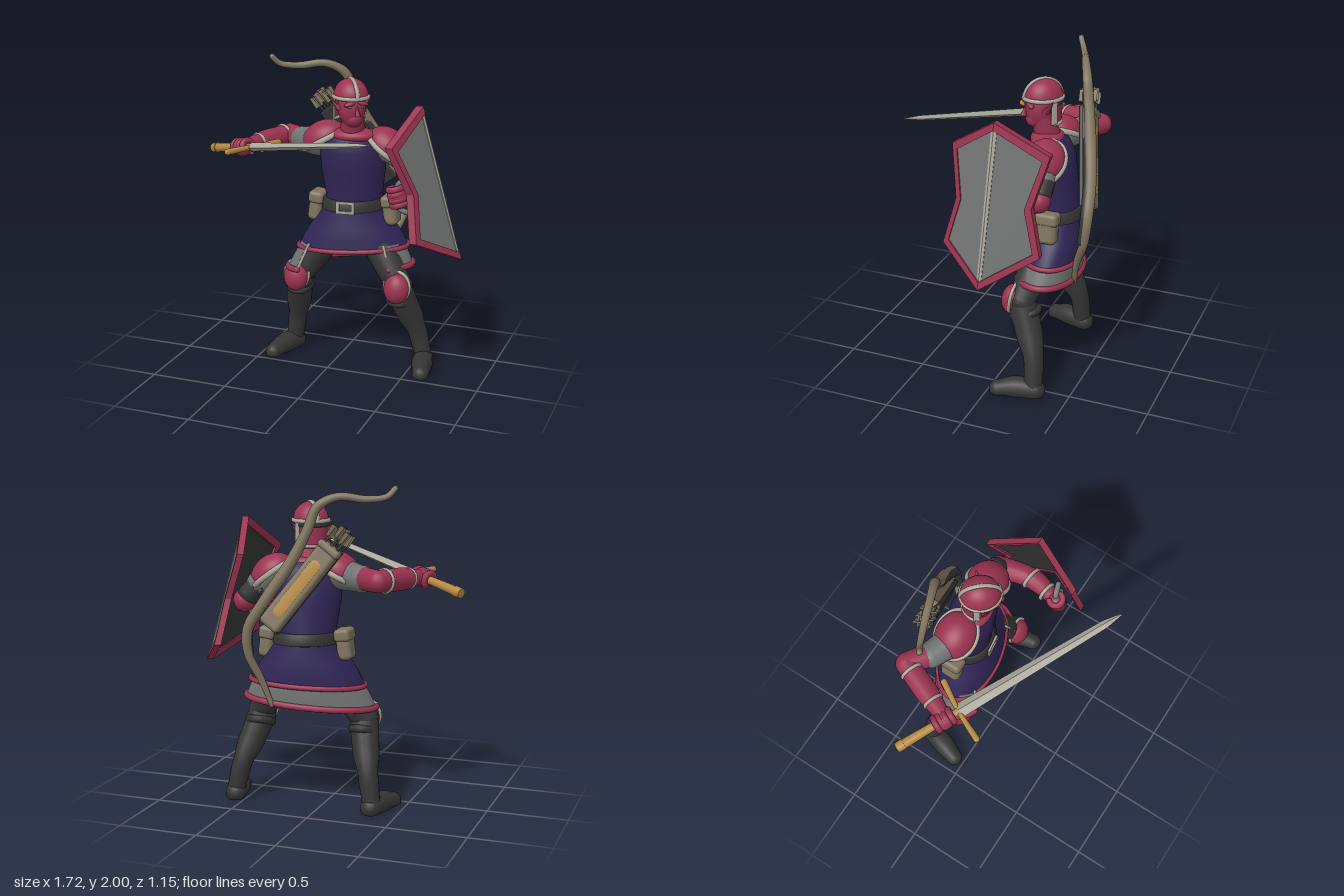
import * as THREE from 'three';
import { mergeGeometries } from 'three/addons/utils/BufferGeometryUtils.js';
import { RoundedBoxGeometry } from 'three/addons/geometries/RoundedBoxGeometry.js';

const V = (x, y, z) => new THREE.Vector3(x, y, z);
const mat = (name, color) => Object.assign(
  new THREE.MeshStandardMaterial({ color, side: THREE.DoubleSide }), { name });

// Tapered round limb along a path with rounded ends
function limb(pts, radii, rad = 16, seg = 36) {
  const curve = new THREE.CatmullRomCurve3(pts.map((p) => V(...p)));
  const g = new THREE.TubeGeometry(curve, seg, 1, rad, false);
  const pos = g.attributes.position, v = V(0, 0, 0);
  const radius = (t) => {
    const f = t * (radii.length - 1), i = Math.min(Math.floor(f), radii.length - 2);
    return THREE.MathUtils.lerp(radii[i], radii[i + 1], THREE.MathUtils.smoothstep(f - i, 0, 1));
  };
  for (let i = 0; i <= seg; i++) {
    const c = curve.getPointAt(i / seg), r = radius(i / seg);
    for (let j = 0; j <= rad; j++) {
      const k = i * (rad + 1) + j;
      v.fromBufferAttribute(pos, k).sub(c).multiplyScalar(r).add(c);
      pos.setXYZ(k, v.x, v.y, v.z);
    }
  }
  const caps = [0, 1].map((t) => {
    const c = curve.getPointAt(t);
    return new THREE.SphereGeometry(radius(t), rad, 10).translate(c.x, c.y, c.z);
  });
  return mergeGeometries([g, ...caps]);
}

// Point on an elliptical ring [y, cx, cz, rx, rz], yawed a little; the hem climbs towards +x
function ringPoint([y, cx, cz, rx, rz], a) {
  const x = cx + rx * Math.sin(a), z = cz + rz * Math.cos(a) - 0.15 * (x - 0.09);
  return V(x, y + Math.max(0, 1 - y) * 0.22 * (x - 0.09), z);
}

// Skin through a stack of rings, from angle a0 through sweep
function loft(rings, a0 = 0, sweep = Math.PI * 2, n = 48) {
  const pos = [], idx = [], closed = sweep > 6.28, w = closed ? n : n + 1;
  rings.forEach((r) => {
    for (let j = 0; j < w; j++) pos.push(...ringPoint(r, a0 + sweep * j / n).toArray());
  });
  for (let i = 0; i < rings.length - 1; i++) for (let j = 0; j < n; j++) {
    const a = i * w + j, b = i * w + (j + 1) % w;
    idx.push(a, a + w, b, b, a + w, b + w);
  }
  const g = new THREE.BufferGeometry();
  g.setAttribute('position', new THREE.Float32BufferAttribute(pos, 3));
  g.setIndex(idx);
  g.computeVertexNormals();
  return g;
}

const hemLine = (ring, r, a0 = 0, sweep = Math.PI * 2) => limb(
  Array.from({ length: 33 }, (_, i) => ringPoint(ring, a0 + sweep * i / 32).toArray()), [r, r], 8, 64);

export function createModel() {
  const root = new THREE.Group();
  const crimson = mat('crimson', 0x9a3350), navy = mat('navy cloth', 0x2f2555);
  const charcoal = mat('charcoal leather', 0x353535), grey = mat('grey steel', 0x707372);
  const silver = mat('pale silver', 0xa9a79b), tan = mat('tan hide', 0x7f745f), gold = mat('gold', 0xb58942);
  const add = (name, geo, m, parent = root, p = [0, 0, 0], r = [0, 0, 0], s = [1, 1, 1]) => {
    const o = new THREE.Mesh(geo, m);
    o.name = name;
    o.position.set(...p); o.rotation.set(...r); o.scale.set(...s);
    parent.add(o);
    return o;
  };
  const group = (name, p = [0, 0, 0], r = [0, 0, 0], parent = root) => {
    const o = new THREE.Group();
    o.name = name;
    o.position.set(...p); o.rotation.set(...r);
    parent.add(o);
    return o;
  };
  const ball = new THREE.SphereGeometry(1, 28, 18);

  // Tunic, layered skirt and belt
  const hem = [0.79, 0.09, -0.235, 0.35, 0.195], lowTop = [0.82, 0.09, -0.22, 0.325, 0.19], lowHem = [0.665, 0.08, -0.205, 0.4, 0.212];
  add('tunic', loft([[1.545, 0.1, -0.2, 0.09, 0.06], [1.53, 0.09, -0.2, 0.13, 0.09], [1.49, 0.09, -0.21, 0.18, 0.12],
    [1.42, 0.09, -0.22, 0.205, 0.145], [1.3, 0.09, -0.23, 0.2, 0.15], [1.12, 0.09, -0.25, 0.175, 0.148],
    [1.03, 0.09, -0.25, 0.19, 0.16], [0.93, 0.09, -0.245, 0.27, 0.182], [0.86, 0.09, -0.24, 0.315, 0.19], hem]), navy);
  add('tunicHem', hemLine(hem, 0.016), crimson);
  const a0 = 0.83, sweep = Math.PI * 2 - 2 * a0;
  add('lowerSkirt', loft([lowTop, [0.74, 0.085, -0.215, 0.365, 0.203], lowHem], a0, sweep), grey);
  add('skirtLining', loft([[0.82, 0.09, -0.22, 0.31, 0.18], [0.67, 0.08, -0.205, 0.388, 0.2]], a0, sweep), navy);
  add('lowerSkirtHem', hemLine(lowHem, 0.02, a0, sweep), crimson);
  for (const a of [a0, -a0]) {
    add('skirtEdge', limb([ringPoint(lowTop, a).toArray(), ringPoint(lowHem, a).toArray()], [0.01, 0.01], 8), silver);
  }
  add('belt', loft([[1.11, 0.09, -0.25, 0.175, 0.15], [1.105, 0.09, -0.25, 0.19, 0.168],
    [1.04, 0.09, -0.25, 0.2, 0.178], [1.035, 0.09, -0.25, 0.185, 0.16]]), charcoal);
  const buckle = new THREE.Shape();
  buckle.moveTo(-0.06, -0.04).lineTo(0.06, -0.04).lineTo(0.06, 0.04).lineTo(-0.06, 0.04);
  const slot = new THREE.Path();
  slot.moveTo(-0.038, -0.022).lineTo(-0.038, 0.022).lineTo(0.038, 0.022).lineTo(0.038, -0.022);
  buckle.holes.push(slot);
  add('buckle', new THREE.ExtrudeGeometry(buckle, { depth: 0.015, bevelEnabled: false }), silver, root, [0.09, 1.075, -0.082], [0, 0.15, 0]);
  for (const s of [-1, 1]) {
    const pouch = group('pouch', [0.09 + s * 0.24, 1.035, -0.25 - s * 0.03], [0, 0, s * 0.12]);
    add('pouchBag', new RoundedBoxGeometry(0.09, 0.19, 0.13, 4, 0.03), tan, pouch);
    add('pouchFlap', new RoundedBoxGeometry(0.102, 0.08, 0.145, 4, 0.025), tan, pouch, [0, 0.06, 0]);
  }

  // Legs: hip, knee, ankle, toe
  for (const [side, hip, knee, ankle, toe] of [
    ['right', -0.01, -0.255, -0.34, -0.41], ['left', 0.19, 0.43, 0.56, 0.61]]) {
    const leg = group(side + 'Leg');
    add('thigh', limb([[hip, 0.9, -0.235], [(hip + knee) / 2, 0.75, -0.2], [knee, 0.57, -0.16]], [0.1, 0.1, 0.085]), charcoal, leg);
    const shin = (t) => knee + (ankle - knee) * t;
    add('boot', limb([[knee, 0.53, -0.165], [shin(0.3), 0.4, -0.215], [shin(0.7), 0.24, -0.27], [ankle, 0.07, -0.285]],
      [0.09, 0.084, 0.062, 0.057]), charcoal, leg);
    const cuff = new THREE.TorusGeometry(0.074, 0.019, 10, 28).rotateX(Math.PI / 2 + 0.3);
    add('bootCuff', cuff, charcoal, leg, [knee, 0.495, -0.18], [0, 0, 0], [1, 1.3, 1.15]);
    const foot = limb([[ankle, 0.04, -0.295], [(ankle + toe) / 2, 0.045, -0.18], [toe, 0.025, -0.07]], [0.065, 0.07, 0.055]);
    const p = foot.attributes.position;
    for (let i = 0; i < p.count; i++) p.setY(i, Math.max(0, p.getY(i)));
    add('foot', foot, charcoal, leg);
    const pad = group('kneePad', [knee, 0.57, -0.1], [-0.15, 0, 0], leg);
    add('kneePlate', ball, crimson, pad, [0, 0, 0], [0, 0, 0], [0.083, 0.098, 0.07]);
    add('kneeTrim', new THREE.TorusGeometry(0.083, 0.011, 8, 32), silver, pad, [0, 0.012, -0.005], [0, 0, 0], [1, 1.16, 1]);
  }

  // Head turned towards the shield
  add('collar', ball, crimson, root, [0.1, 1.525, -0.19], [0, 0.15, 0], [0.15, 0.05, 0.1]);
  add('neck', limb([[0.09, 1.48, -0.2], [0.11, 1.66, -0.16]], [0.085, 0.07]), crimson);
  const head = group('head', [0.095, 1.77, -0.16], [0, 0.7, 0]);
  add('face', ball, crimson, head, [0, -0.06, 0.015], [0, 0, 0], [0.085, 0.13, 0.098]);
  add('jaw', ball, crimson, head, [0, -0.125, 0.05], [0, 0, 0], [0.055, 0.055, 0.06]);
  add('nose', new THREE.ConeGeometry(0.02, 0.075, 8), crimson, head, [0, -0.065, 0.115], [-0.25, 0, 0]);
  const dome = new THREE.SphereGeometry(0.115, 32, 16, 0, Math.PI * 2, 0, Math.PI / 2);
  add('helmetDome', dome, crimson, head, [0, 0, 0], [0, 0, 0], [0.95, 1.03, 1.06]);
  add('helmetBand', new THREE.TorusGeometry(0.113, 0.011, 8, 40).rotateX(Math.PI / 2), silver, head, [0, 0.005, 0], [0, 0, 0], [0.96, 1.2, 1.06]);
  add('helmetCrest', new THREE.TorusGeometry(0.115, 0.009, 8, 32, Math.PI).rotateY(Math.PI / 2), silver, head, [0, 0, 0], [0, 0, 0], [1.5, 1.03, 1.06]);
  const guard = new THREE.CylinderGeometry(0.11, 0.105, 0.15, 28, 1, true, Math.PI * 0.62, Math.PI * 0.76);
  add('neckGuard', guard, crimson, head, [0, -0.07, 0], [0, 0, 0], [0.96, 1, 1.06]);
  const rearArc = (r) => new THREE.TorusGeometry(r, 0.011, 8, 28, Math.PI * 0.76).rotateX(Math.PI / 2).rotateY(Math.PI * 0.88);
  add('neckGuardTrim', rearArc(0.108), silver, head, [0, -0.145, 0]);
  add('neckGuardGap', rearArc(0.107), charcoal, head, [0, -0.02, 0], [0, 0, 0], [0.96, 1, 1.06]);
  for (const s of [-1, 1]) {
    add('cheekPlate', new RoundedBoxGeometry(0.014, 0.15, 0.04, 3, 0.006), silver, head, [s * 0.1, -0.07, -0.035], [0, s * 0.2, 0]);
    add('ear', new THREE.ConeGeometry(0.028, 0.12, 8), crimson, head, [s * 0.115, -0.025, 0], [-0.25, 0, -s * 0.65], [0.6, 1, 1]);
    add('brow', ball, crimson, head, [s * 0.04, -0.025, 0.095], [0, 0, -s * 0.25], [0.04, 0.015, 0.02]);
    add('eye', ball, tan, head, [s * 0.036, -0.046, 0.096], [0, 0, 0], [0.017, 0.008, 0.01]);
  }

  // Shoulder plates with pale rims
  const shell = new THREE.SphereGeometry(0.13, 32, 14, 0, Math.PI * 2, 0, 1.6);
  for (const [side, p, r] of [['right', [-0.1, 1.48, -0.21], [0, 0, 0.5]], ['left', [0.31, 1.45, -0.25], [0, 0, -0.64]]]) {
    const g = group(side + 'Pauldron', p, r);
    add('shoulderPlate', shell, crimson, g, [0, 0, 0], [0, 0, 0], [1.15, 0.88, 0.96]);
    add('shoulderTrim', new THREE.TorusGeometry(0.132, 0.015, 8, 40).rotateX(Math.PI / 2), silver, g, [0, -0.005, 0], [0, 0, 0], [1.15, 1.2, 0.96]);
  }

  // Arms
  const cuffs = (name, parent, a, b, spots) => spots.forEach(([t, r]) => {
    const A = V(...a), d = V(...b).sub(A);
    const o = add(name, new THREE.TorusGeometry(r, 0.012, 8, 28), silver, parent, A.clone().addScaledVector(d, t).toArray());
    o.quaternion.setFromUnitVectors(V(0, 0, 1), d.normalize());
  });
  const rElbow = [-0.4, 1.45, -0.36], rHand = [-0.55, 1.435, 0];
  const lElbow = [0.485, 1.28, -0.285], lMid = [0.54, 1.26, -0.08], lHand = [0.5, 1.25, 0.13];
  const rArm = group('rightArm'), lArm = group('leftArm');
  add('sleeve', limb([[-0.13, 1.46, -0.21], [-0.27, 1.445, -0.27]], [0.095, 0.083]), grey, rArm);
  add('elbow', limb([[-0.27, 1.45, -0.27], rElbow], [0.072, 0.068]), crimson, rArm);
  add('forearm', limb([rElbow, rHand], [0.068, 0.07, 0.048]), crimson, rArm);
  cuffs('armBand', rArm, rElbow, rHand, [[0.15, 0.066], [0.72, 0.055]]);
  add('sleeve', limb([[0.31, 1.45, -0.25], [0.39, 1.385, -0.275]], [0.092, 0.08]), grey, lArm);
  add('upperArm', limb([[0.38, 1.39, -0.275], [0.455, 1.32, -0.285]], [0.077, 0.07]), charcoal, lArm);
  add('forearm', limb([lElbow, lMid, lHand], [0.072, 0.066, 0.046]), crimson, lArm);
  cuffs('armBand', lArm, lMid, lHand, [[0, 0.065], [0.6, 0.055]]);
  const fist = (parent, p, r = [0, 0, 0]) => {
    const h = group('fist', p, r, parent);
    add('palm', ball, crimson, h, [0, 0, 0], [0, 0, 0], [0.06, 0.066, 0.058]);
    for (let i = 0; i < 4; i++) add('finger', new THREE.TorusGeometry(0.042, 0.02, 8, 18, 4.2).rotateX(Math.PI / 2), crimson, h, [0, -0.05 + i * 0.033, 0]);
  };
  fist(lArm, lHand, [0, 0, 0.26]);
  add('shieldGrip', limb([[0.56, 1.35, 0.1], [0.5, 1.32, 0.12], [0.52, 1.17, 0.12], [0.61, 1.14, 0.1]], [0.018, 0.018], 8), grey);

  // Sword, blade running along its local y
  const sword = group('sword', [-0.48, 1.45, 0.06]);
  const along = V(0.866, 0.192, 0.463).normalize(), across = V(-0.4715, 0, 0.8819);
  sword.quaternion.setFromRotationMatrix(new THREE.Matrix4().makeBasis(across, along, across.clone().cross(along)));
  const flat = (g) => { const f = g.toNonIndexed(); f.computeVertexNormals(); return f; };
  add('blade', flat(new THREE.CylinderGeometry(0.026, 0.046, 0.99, 4)), silver, sword, [0, 0.495, 0], [0, 0, 0], [1, 1, 0.6]);
  add('bladeTip', flat(new THREE.CylinderGeometry(0.006, 0.026, 0.11, 4)), silver, sword, [0, 1.045, 0], [0, 0, 0], [1, 1, 0.6]);
  add('crossGuard', limb([[-0.2, 0.01, 0], [0, 0, 0], [0.2, 0.01, 0]], [0.02, 0.016, 0.02], 10), gold, sword);
  add('grip', new THREE.CylinderGeometry(0.022, 0.03, 0.38, 14), gold, sword, [0, -0.19, 0]);
  add('pommel', new THREE.CylinderGeometry(0.034, 0.03, 0.05, 14), gold, sword, [0, -0.395, 0]);
  fist(sword, [0, -0.1, 0]);

  // Shield: two halves folded back from a leaning centre ridge
  const shield = group('shield');
  const outer = [[0, 1.77], [0.305, 1.57], [0.235, 1.28], [0.305, 1], [0, 0.835]];
  const inner = [[0, 1.725], [0.265, 1.545], [0.198, 1.28], [0.265, 1.025], [0, 0.88]];
  const panel = (name, pts, s, depth, lift, m) => {
    const shape = new THREE.Shape(pts.map(([u, y]) => new THREE.Vector2(s * u, y)));
    const g = new THREE.ExtrudeGeometry(shape, { depth, bevelEnabled: false });
    const p = g.attributes.position;
    for (let i = 0; i < p.count; i++) {
      const u = p.getX(i), y = p.getY(i);
      p.setXYZ(i, 0.56 + 0.285 * (1.77 - y) - 0.5 * Math.abs(u) + lift + p.getZ(i), y, -0.055 - u);
    }
    g.computeVertexNormals();
    add(name, g, m, shield);
  };
  for (const s of [-1, 1]) {
    panel('shieldFace', inner, s, 0.012, 0.012, grey);
    panel('shieldBack', inner, s, 0.008, 0.002, charcoal);
    panel('shieldRim', [...outer, ...inner.slice().reverse()], s, 0.045, -0.01, crimson);
    panel('shieldRidge', [[0, 1.725], [0.018, 1.71], [0.014, 0.895], [0, 0.88]], s, 0.008, 0.02, silver);
  }

  // Quiver slung across the back
  const top = V(-0.13, 1.66, -0.375), base = V(0.24, 1.16, -0.515);
  const quiver = group('quiver', top.clone().add(base).multiplyScalar(0.5).toArray());
  const up = top.clone().sub(base).normalize(), wide = up.clone().cross(V(0, 0, -1)).normalize();
  const inward = wide.clone().cross(up);
  quiver.quaternion.setFromRotationMatrix(new THREE.Matrix4().makeBasis(wide, up, inward));
  const out = inward.z < 0 ? 1 : -1;
  add('quiverCase', new RoundedBoxGeometry(0.14, 0.62, 0.085, 4, 0.025), tan, quiver);
  add('quiverBacking', new RoundedBoxGeometry(0.145, 0.63, 0.03, 4, 0.012), charcoal, quiver, [0, 0, -out * 0.035]);
  add('quiverLip', new RoundedBoxGeometry(0.155, 0.05, 0.08, 4, 0.02), tan, quiver, [0, 0.28, out * 0.012]);
  add('quiverPanel', new THREE.CapsuleGeometry(0.036, 0.34, 6, 16), gold, quiver, [0, -0.02, out * 0.042], [0, 0, 0], [1, 1, 0.12]);
  for (let i = 0; i < 6; i++) {
    const x = (i % 3 - 1) * 0.045, z = (i < 3 ? -1 : 1) * 0.026, h = 0.375 + (i * 2 % 3) * 0.012;
    add('arrowShaft', new THREE.CylinderGeometry(0.009, 0.009, 0.14, 6), charcoal, quiver, [x, h - 0.03, z]);
    for (const r of [0.4, 1.97]) add('fletching', new THREE.BoxGeometry(0.058, 0.075, 0.01), tan, quiver, [x, h, z], [0, r, 0.1]);
  }

  // Recurve bow behind the shoulder, with a dark belly on its middle
  const belly = [[0.11, 1.55, -0.465], [0.25, 1.33, -0.52], [0.355, 1.15, -0.54], [0.36, 1, -0.525]];
  add('bow', limb([[-0.45, 1.98, -0.2], [-0.41, 1.935, -0.23], [-0.3, 1.92, -0.28], [-0.14, 1.935, -0.34], [-0.03, 1.875, -0.39],
    [0.02, 1.74, -0.42], ...belly, [0.3, 0.82, -0.46], [0.25, 0.67, -0.43]],
  [0.018, 0.024, 0.032, 0.037, 0.034, 0.026, 0.016], 12, 90), tan);
  add('bowBelly', limb(belly.map(([x, y, z]) => [x, y, z + 0.016]), [0.026, 0.031, 0.026], 12), charcoal);
  return root;
}
